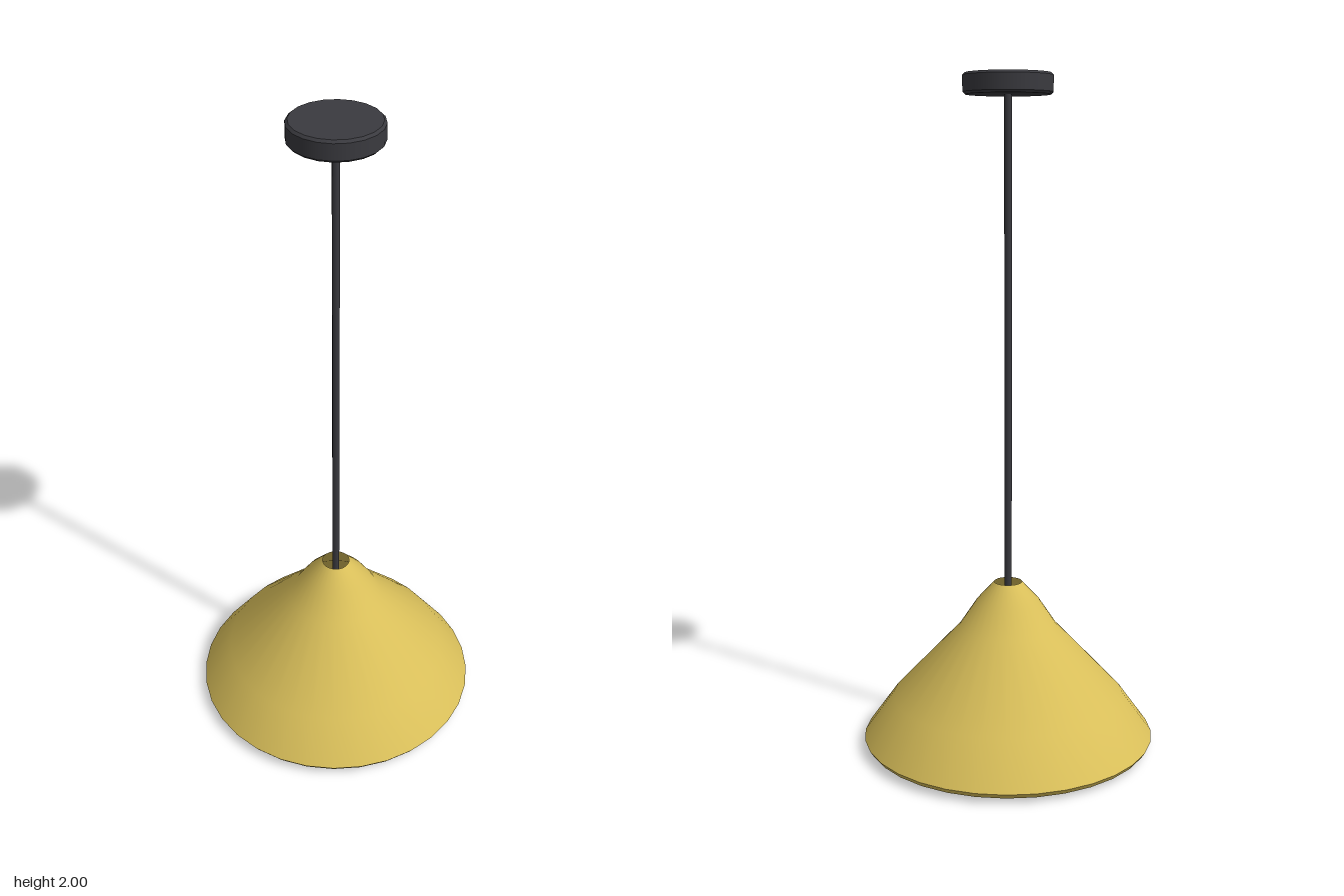
import * as THREE from 'three';

const material = (name, color, side = THREE.FrontSide) => {
  const m = new THREE.MeshStandardMaterial({ color, side });
  m.name = name;
  return m;
};

const lathe = (points, segments) =>
  new THREE.LatheGeometry(points.map(([r, y]) => new THREE.Vector2(r, y)), segments);

export function createModel() {
  const group = new THREE.Group();
  group.name = 'pendantLamp';
  const gold = material('gold', 0xd9bf5a, THREE.DoubleSide);
  const charcoal = material('charcoal', 0x3a3a3f);
  const cream = material('cream', 0xefe6cf);

  const add = (name, geometry, mat, y = 0) => {
    const mesh = new THREE.Mesh(geometry, mat);
    mesh.name = name;
    mesh.position.y = y;
    group.add(mesh);
  };

  // Open conical shade with a softly waved outline
  add('shade', lathe([[0.44, 0.03], [0.35, 0.155], [0.148, 0.37], [0.095, 0.45], [0.042, 0.508]], 32), gold);
  // Turned-in lower rim
  add('shadeRim', lathe([[0.43, 0.015], [0.44, 0.03]], 32), gold);

  // Bulb and the socket that holds it
  add('bulb', new THREE.SphereGeometry(0.105, 24, 16), cream, 0.105);
  add('socket', new THREE.CylinderGeometry(0.04, 0.045, 0.12, 16), charcoal, 0.26);

  // Cord from socket to ceiling
  add('cord', new THREE.CylinderGeometry(0.011, 0.011, 1.66, 8), charcoal, 1.13);

  // Ceiling canopy: flat caps, small bevels and a straight wall
  const r = 0.13, b = 0.007, low = 1.94;
  add('canopyBottom', lathe([[0, low], [r - b, low]], 20), charcoal);
  add('canopyLowerBevel', lathe([[r - b, low], [r, low + b]], 20), charcoal);
  add('canopyWall', lathe([[r, low + b], [r, 2 - b]], 20), charcoal);
  add('canopyUpperBevel', lathe([[r, 2 - b], [r - b, 2]], 20), charcoal);
  add('canopyTop', lathe([[r - b, 2], [0, 2]], 20), charcoal);

  return group;
}
